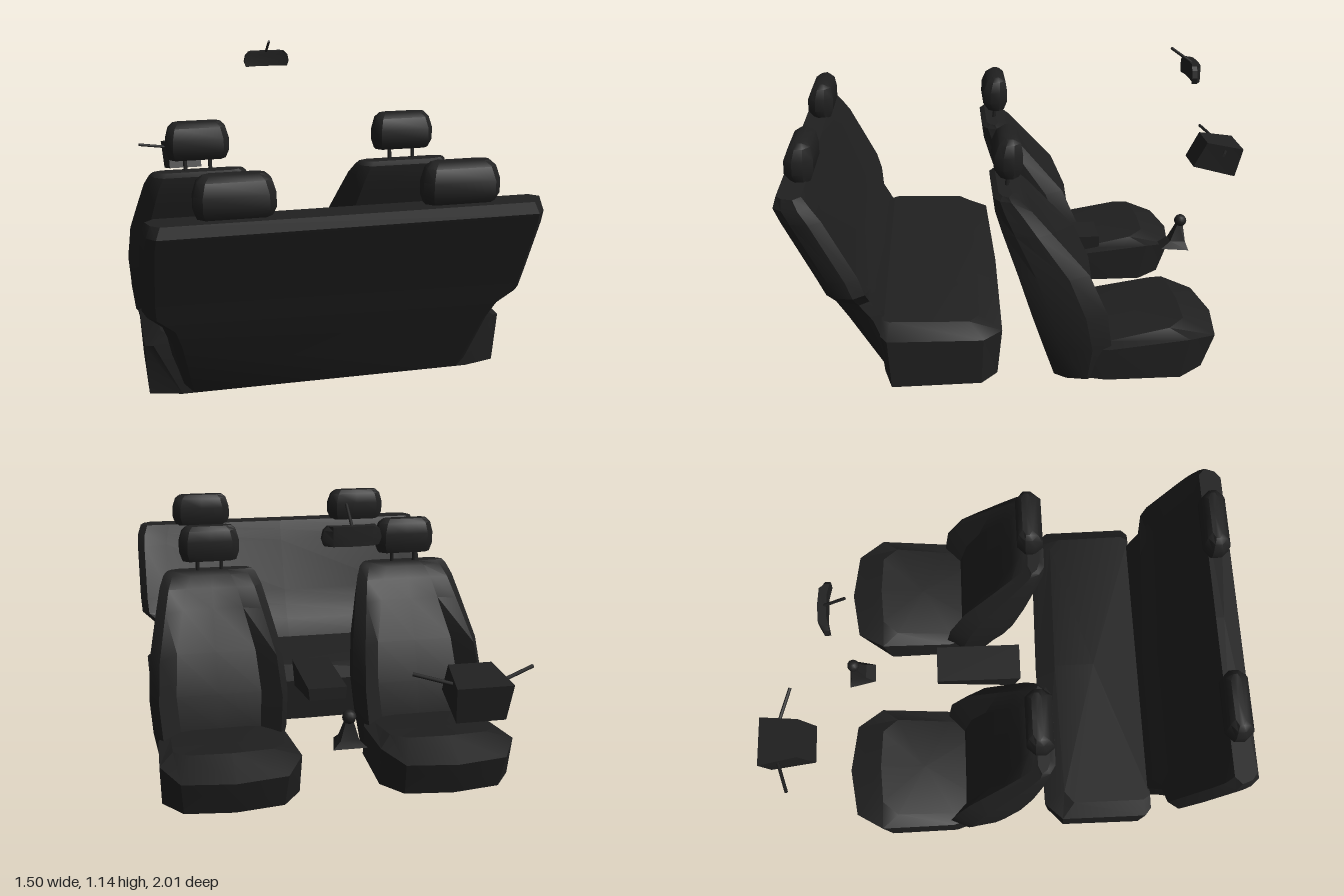
import * as THREE from 'three';
import { mergeVertices, toCreasedNormals } from 'three/addons/utils/BufferGeometryUtils.js';

const trim = new THREE.MeshStandardMaterial({ color: 0x202020, side: THREE.DoubleSide });
trim.name = 'blackTrim';

// Skin between cross-sections. Each ring is a right half [x, y, z] from front to rear, mirrored in x.
function loft(halves, { top = true, bottom = true, crease = 0.5 } = {}) {
  const rings = halves.map(h => [...h, ...h.slice().reverse().filter(p => p[0] > 0).map(([x, y, z]) => [-x, y, z])]);
  const n = rings[0].length, pos = rings.flat(2), idx = [];
  for (let r = 0; r < rings.length - 1; r++) {
    for (let i = 0; i < n; i++) {
      const a = r * n + i, b = r * n + (i + 1) % n;
      idx.push(a, a + n, b + n, a, b + n, b);
    }
  }
  const cap = (r, up) => {
    const c = pos.length / 3;
    for (let k = 0; k < 3; k++) pos.push(rings[r].reduce((s, p) => s + p[k], 0) / n);
    for (let i = 0; i < n; i++) {
      const a = r * n + i, b = r * n + (i + 1) % n;
      idx.push(...(up ? [c, b, a] : [c, a, b]));
    }
  };
  if (bottom) cap(0, false);
  if (top) cap(rings.length - 1, true);
  const g = new THREE.BufferGeometry();
  g.setAttribute('position', new THREE.Float32BufferAttribute(pos, 3));
  g.setIndex(idx);
  return toCreasedNormals(mergeVertices(g), crease);
}

function add(parent, name, geometry) {
  const m = new THREE.Mesh(geometry, trim);
  m.name = name;
  parent.add(m);
  return m;
}

// Thin rod between two points
function rod(parent, name, a, b, r) {
  const p = new THREE.Vector3(...a), q = new THREE.Vector3(...b);
  const m = add(parent, name, new THREE.CylinderGeometry(r, r, p.distanceTo(q), 8));
  m.position.copy(p).add(q).multiplyScalar(0.5);
  m.quaternion.setFromUnitVectors(new THREE.Vector3(0, 1, 0), q.sub(p).normalize());
}

// Headrest pillow on two posts, y measured from its underside
function headrest(parent, x, y, z, w) {
  const g = new THREE.Group();
  g.name = 'headrest';
  g.position.set(x, y, z);
  const levels = [[0, 0.9, 0.035, 0], [0.035, 1, 0.053, 0.005], [0.085, 1, 0.053, 0.003],
    [0.13, 0.9, 0.04, -0.003], [0.148, 0.75, 0.02, -0.006]];
  add(g, 'headrestPillow', loft(levels.map(([h, s, d, c]) => [
    [0, h, c - d], [w * s * 0.75, h, c - d], [w * s, h, c - d * 0.35],
    [w * s, h, c + d * 0.4], [w * s * 0.8, h, c + d]]), { crease: 0.7 }));
  for (const s of [-1, 1]) rod(g, 'headrestPost', [s * 0.05, -0.06, 0.01], [s * 0.05, 0.02, 0], 0.008);
  parent.add(g);
}

// Backrest with raised side bolsters: [y, centre front z, bolster front z, rear z, half width]
function backrest(levels, inset, lip) {
  return loft(levels.map(([y, zc, zf, zb, w]) => [
    [0, y, zc], [w - inset, y, zc], [w - lip, y, zf],
    [w, y, zf + (zb - zf) * 0.3], [w - lip * 0.5, y, zf + (zb - zf) * 0.75], [w - lip * 1.5, y, zb]]));
}

function frontSeat(x) {
  const g = new THREE.Group();
  g.name = 'frontSeat';
  g.position.x = x;
  // Cushion is a hollow shell, open underneath
  add(g, 'frontCushion', loft([
    [[0, 0, -0.665], [0.19, 0, -0.64], [0.265, 0, -0.54], [0.26, 0, -0.25], [0.2, 0, -0.06]],
    [[0, 0.14, -0.715], [0.2, 0.14, -0.685], [0.27, 0.165, -0.57], [0.26, 0.13, -0.26], [0.2, 0.12, -0.06]],
    [[0, 0.2, -0.575], [0.16, 0.2, -0.565], [0.215, 0.19, -0.5], [0.21, 0.14, -0.26], [0.17, 0.13, -0.1]],
  ], { bottom: false }));
  add(g, 'frontBackrest', backrest([
    [0, -0.22, -0.23, -0.055, 0.25], [0.14, -0.2, -0.27, -0.01, 0.275], [0.28, -0.165, -0.25, 0.035, 0.285],
    [0.44, -0.1, -0.18, 0.085, 0.272], [0.6, -0.01, -0.04, 0.14, 0.235],
    [0.68, 0.035, 0.03, 0.165, 0.215], [0.725, 0.07, 0.08, 0.17, 0.195], [0.74, 0.1, 0.1, 0.15, 0.18],
  ], 0.11, 0.035));
  headrest(g, 0, 0.785, 0.105, 0.125);
  return g;
}

function rearBench() {
  const g = new THREE.Group();
  g.name = 'rearBench';
  add(g, 'rearCushion', loft([
    [[0, 0.01, 0.155], [0.61, 0.01, 0.165], [0.68, 0.01, 0.23], [0.68, 0.01, 0.57], [0.56, 0.01, 0.6]],
    [[0, 0.2, 0.135], [0.62, 0.2, 0.145], [0.69, 0.2, 0.22], [0.69, 0.21, 0.58], [0.66, 0.22, 0.605]],
    [[0, 0.25, 0.22], [0.58, 0.25, 0.23], [0.63, 0.25, 0.27], [0.63, 0.262, 0.57], [0.61, 0.262, 0.6]],
  ], { bottom: false }));
  add(g, 'rearBackrest', backrest([
    [0.01, 0.53, 0.53, 0.6, 0.56], [0.26, 0.59, 0.59, 0.725, 0.61], [0.34, 0.64, 0.64, 0.765, 0.635],
    [0.4, 0.68, 0.65, 0.79, 0.7], [0.47, 0.71, 0.67, 0.82, 0.705], [0.7, 0.81, 0.785, 0.93, 0.705],
    [0.75, 0.83, 0.82, 0.952, 0.7], [0.79, 0.85, 0.85, 0.94, 0.685],
  ], 0.14, 0.03));
  for (const s of [-1, 1]) headrest(g, s * 0.39, 0.785, 0.87, 0.137);
  return g;
}

function controls() {
  const g = new THREE.Group();
  g.name = 'controls';

  // Armrest between the front seats
  add(g, 'armrest', loft([
    [[0.075, 0.28, -0.31], [0.075, 0.22, 0.03]],
    [[0.08, 0.33, -0.31], [0.08, 0.33, 0.06]]]));

  // Gear lever with boot and knob
  add(g, 'gearBoot', loft([
    [[0.065, 0.24, -0.71], [0.04, 0.24, -0.595]],
    [[0.035, 0.27, -0.7], [0.03, 0.27, -0.635]],
    [[0.012, 0.35, -0.69], [0.012, 0.35, -0.67]]]));
  const knob = add(g, 'gearKnob', new THREE.SphereGeometry(0.027, 10, 8));
  knob.position.set(0, 0.357, -0.682);

  // Rear-view mirror and its stem
  add(g, 'mirror', loft([[1.005, 0.098], [1.03, 0.107], [1.06, 0.1], [1.075, 0.085]].map(([y, w]) => [
    [0, y, -0.715], [0.07, y, -0.71], [w, y, -0.69], [w, y, -0.67], [0.07, y, -0.68]])));
  rod(g, 'mirrorStem', [0, 1.07, -0.69], [0, 1.133, -0.602], 0.006);

  // Steering column shroud with two stalks
  const column = new THREE.Group();
  column.name = 'steeringColumn';
  column.position.x = -0.387;
  add(column, 'columnShroud', loft([
    [[0.09, 0.44, -1.005], [0.078, 0.49, -0.81]],
    [[0.102, 0.575, -1.035], [0.08, 0.605, -0.87]]]));
  for (const s of [-1, 1]) rod(column, 'columnStalk', [s * 0.07, 0.56, -0.96], [s * 0.219, 0.593, -0.908], 0.007);
  g.add(column);
  return g;
}

export function createModel() {
  const model = new THREE.Group();
  model.name = 'carInterior';
  const cabin = new THREE.Group();
  cabin.name = 'cabin';
  cabin.position.x = -0.02;
  cabin.rotation.y = 0.075; // the whole cabin stands slightly turned
  cabin.add(frontSeat(-0.425), frontSeat(0.425), rearBench(), controls());
  model.add(cabin);
  return model;
}
